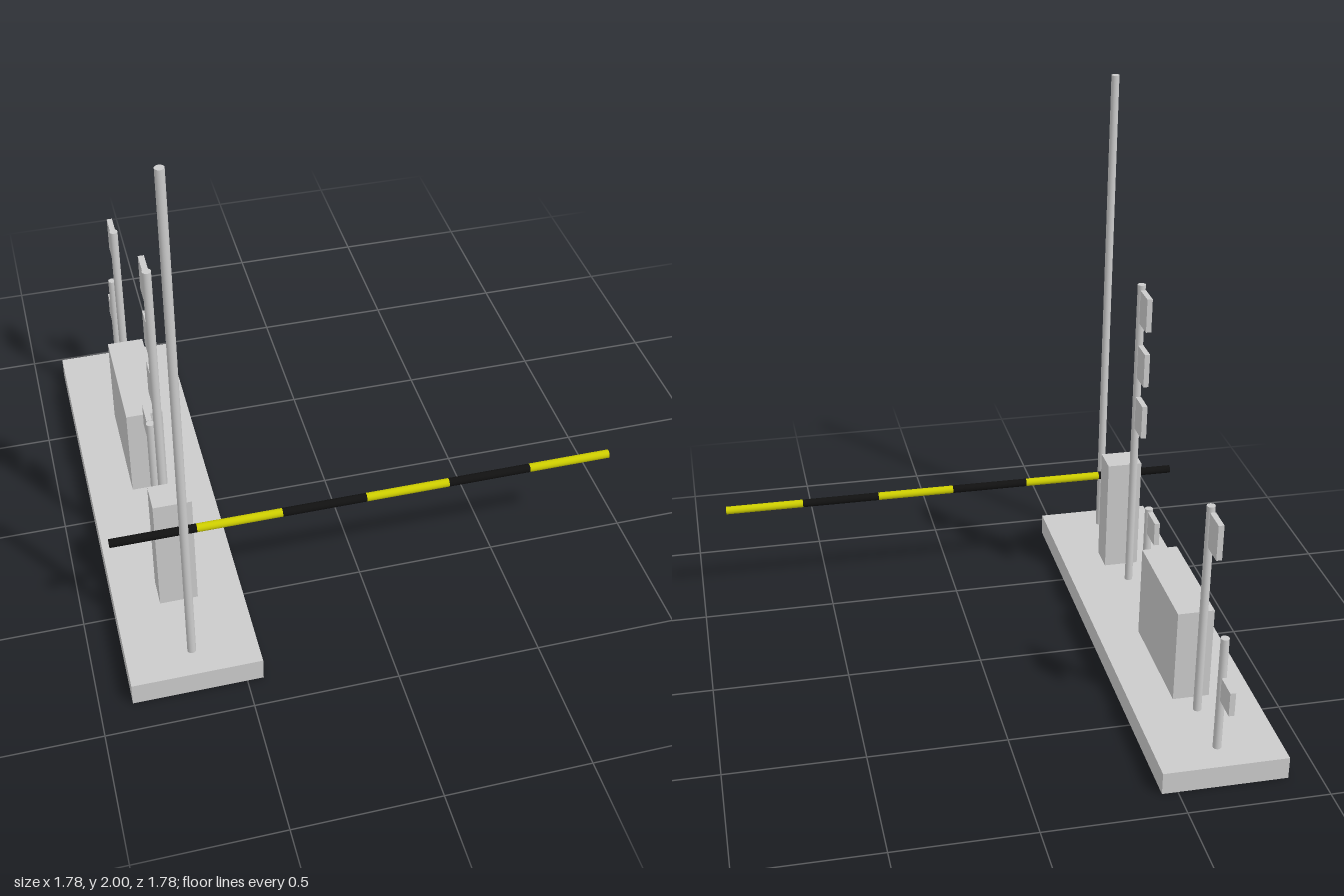
import * as THREE from 'three';

export function createModel() {
  const model = new THREE.Group();
  const grey = new THREE.MeshStandardMaterial({ color: 0xcccccc });
  const yellow = new THREE.MeshStandardMaterial({ color: 0xcccc00 });
  const black = new THREE.MeshStandardMaterial({ color: 0x111111 });
  const axisX = -0.667, deckY = 0.083, radius = 0.015;

  function add(name, geometry, x, y, z, material = grey) {
    const mesh = new THREE.Mesh(geometry, material);
    mesh.name = name;
    mesh.position.set(x, y, z);
    model.add(mesh);
    return mesh;
  }

  // Box given by its extents in y and z, centred on the row of equipment
  function box(name, width, y0, y1, z0, z1) {
    add(name, new THREE.BoxGeometry(width, y1 - y0, z1 - z0), axisX, (y0 + y1) / 2, (z0 + z1) / 2);
  }

  // Round post standing on the base
  function post(name, z, top) {
    const height = top - deckY;
    add(name, new THREE.CylinderGeometry(radius, radius, height, 24), axisX, deckY + height / 2, z);
  }

  // Base and cabinets
  box('base', 0.446, 0, deckY, -0.89, 0.89);
  box('barrierCabinet', 0.133, deckY, 0.535, 0.443, 0.549);
  box('equipmentCabinet', 0.133, deckY, 0.439, -0.49, -0.045);

  // Posts, each with its sign plates [bottom, top] mounted behind it
  const posts = [
    { name: 'tallMast', z: 0.783, top: 2, plates: [] },
    { name: 'signalPost', z: 0.33, top: 1.34, plates: [[1.195, 1.325], [0.975, 1.106], [0.763, 0.894]] },
    { name: 'shortPost', z: 0.108, top: 0.524, plates: [[0.428, 0.519]] },
    { name: 'signPost', z: -0.562, top: 0.903, plates: [[0.756, 0.888]] },
    { name: 'rearPost', z: -0.782, top: 0.524, plates: [[0.29, 0.38]] },
  ];
  for (const { name, z, top, plates } of posts) {
    post(name, z, top);
    for (const [y0, y1] of plates) box(name + 'Plate', 0.02, y0, y1, z - 0.111, z - 0.022);
  }

  // Striped barrier boom
  const stripes = 6, length = 1.78 / stripes;
  for (let i = 0; i < stripes; i++) {
    const stripe = add('boomStripe', new THREE.CylinderGeometry(radius, radius, length, 24),
      -0.89 + (i + 0.5) * length, 0.43, 0.568, i % 2 ? yellow : black);
    stripe.rotation.z = Math.PI / 2;
  }

  return model;
}
